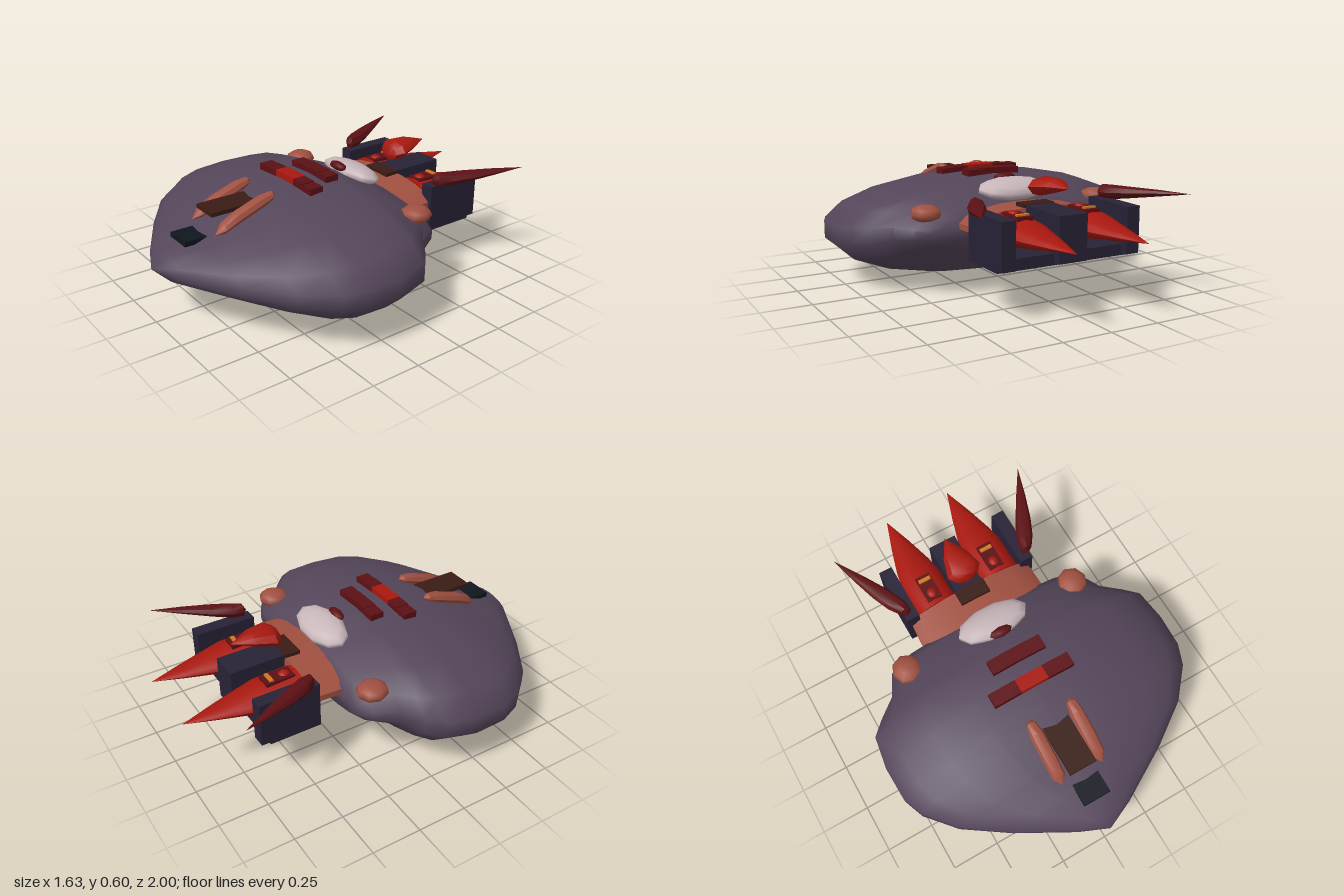
import * as THREE from 'three';
import { toCreasedNormals } from 'three/addons/utils/BufferGeometryUtils.js';

const mat = (color, flatShading = false) =>
  new THREE.MeshStandardMaterial({ color, flatShading });

const HULL = 0x54465a, DARK = 0x282236, RED = 0xa8180f, DEEP_RED = 0x5c1014;
const FLESH = 0xa05040, PALE = 0xc8b6ba, BROWN = 0x3a1c14, BLACK = 0x10161f, ORANGE = 0xd07820;

// Loft of elliptical rings running from front to back; station = [z, cx, cy, rx, ry]
function loft(stations, sides, crease) {
  const pos = [], idx = [];
  for (const [z, cx, cy, rx, ry] of stations)
    for (let k = 0; k < sides; k++) {
      const a = (k / sides) * Math.PI * 2;
      pos.push(cx + rx * Math.sin(a), cy + ry * Math.cos(a), z);
    }
  for (let i = 0; i < stations.length - 1; i++)
    for (let k = 0; k < sides; k++) {
      const n = (k + 1) % sides, a = i * sides, b = a + sides;
      if (stations[i][3] > 0) idx.push(a + k, a + n, b + k);
      if (stations[i + 1][3] > 0) idx.push(a + n, b + n, b + k);
    }
  const g = new THREE.BufferGeometry();
  g.setAttribute('position', new THREE.Float32BufferAttribute(pos, 3));
  g.setIndex(idx);
  g.computeVertexNormals();
  return toCreasedNormals(g, crease);
}

export function createModel() {
  const root = new THREE.Group();
  root.name = 'beetleShip';

  const add = (name, geometry, color, flat) => {
    const m = new THREE.Mesh(geometry, mat(color, flat));
    m.name = name;
    root.add(m);
    return m;
  };
  // Box given by its limits on each axis
  const box = (name, color, [x0, x1], [y0, y1], [z0, z1]) =>
    add(name, new THREE.BoxGeometry(x1 - x0, y1 - y0, z1 - z0), color)
      .position.set((x0 + x1) / 2, (y0 + y1) / 2, (z0 + z1) / 2);
  const blob = (name, color, [x, y, z], [rx, ry, rz], w = 10, h = 7) => {
    const m = add(name, new THREE.SphereGeometry(1, w, h), color);
    m.position.set(x, y, z);
    m.scale.set(rx, ry, rz);
    return m;
  };

  // Hull: [z, half width, top, bottom]
  const hull = [
    [1, 0, 0.28, 0.28], [0.935, 0.15, 0.345, 0.216], [0.78, 0.43, 0.39, 0.165],
    [0.63, 0.65, 0.45, 0.108], [0.48, 0.78, 0.505, 0.043], [0.37, 0.822, 0.532, 0.013],
    [0.2, 0.827, 0.55, 0], [0.035, 0.8, 0.545, 0.043], [-0.03, 0.73, 0.53, 0.07],
    [-0.105, 0.63, 0.5, 0.14], [-0.217, 0.57, 0.455, 0.2], [-0.26, 0.49, 0.41, 0.238],
    [-0.265, 0, 0.33, 0.33],
  ].map(([z, w, t, b]) => [z, 0, (t + b) / 2, w, (t - b) / 2]);
  add('hull', loft(hull, 18, 1.0), HULL);

  // Tail collar joining hull and engines
  add('tailCollar', loft([
    [-0.2, 0, 0.36, 0, 0], [-0.2, 0, 0.36, 0.36, 0.085], [-0.3, 0, 0.36, 0.358, 0.086],
    [-0.41, 0, 0.362, 0.352, 0.088], [-0.42, 0, 0.362, 0, 0],
  ], 18, 0.9), FLESH);
  box('collarHatch', BROWN, [-0.083, 0.083], [0.4, 0.463], [-0.41, -0.33]);

  // Engine housing: base slab and three fins
  box('engineBase', DARK, [-0.37, 0.37], [0.225, 0.28], [-0.655, -0.385]);
  for (const [x, w, y] of [[0, 0.075, 0.46], [0.335, 0.035, 0.465], [-0.335, 0.035, 0.465]])
    box('engineFin', DARK, [x - w, x + w], [0.238, y], [-0.7, -0.387]);

  // Dome, gem and bumps on the back of the hull
  blob('dome', PALE, [0, 0.497, -0.157], [0.197, 0.05, 0.1]).rotation.x = -0.25;
  blob('domeGem', DEEP_RED, [0, 0.542, -0.072], [0.062, 0.022, 0.028], 8, 6);

  // Crest above the tail
  add('crest', loft([
    [-0.4, 0, 0.53, 0, 0], [-0.415, 0, 0.54, 0.06, 0.04], [-0.45, 0, 0.554, 0.092, 0.046],
    [-0.55, 0, 0.567, 0.062, 0.032], [-0.655, 0, 0.567, 0, 0],
  ], 8, 0.7), RED);

  // Stepped bars across the hull
  box('frontBarCentre', RED, [-0.075, 0.075], [0.52, 0.574], [0.188, 0.26]);
  box('rearBarCentre', DEEP_RED, [-0.075, 0.075], [0.52, 0.574], [0.04, 0.113]);

  // Nose plates
  box('brownPlate', BROWN, [-0.072, 0.072], [0.488, 0.508], [0.44, 0.712]);
  box('blackPlate', BLACK, [-0.072, 0.072], [0.378, 0.402], [0.7, 0.857]);

  // Paired parts
  for (const s of [1, -1]) {
    const span = (a, b) => (s > 0 ? [a, b] : [-b, -a]);

    blob('shoulderBump', FLESH, [s * 0.487, 0.42, -0.175], [0.078, 0.042, 0.08], 8, 6);

    box('frontBarInner', DEEP_RED, span(0.075, 0.15), [0.51, 0.57], [0.188, 0.26]);
    box('frontBarOuter', DEEP_RED, span(0.15, 0.222), [0.51, 0.565], [0.188, 0.26]);
    box('rearBarOuter', DEEP_RED, span(0.075, 0.147), [0.51, 0.57], [0.04, 0.113]);

    // Tusk lying along the nose
    const tx = s * 0.112;
    add('tusk', loft([
      [0.722, tx, 0.415, 0, 0], [0.68, tx, 0.438, 0.034, 0.028], [0.6, tx, 0.475, 0.037, 0.032],
      [0.47, tx, 0.52, 0.036, 0.032], [0.41, tx, 0.538, 0.026, 0.02], [0.388, tx, 0.54, 0, 0],
    ], 8, 0.7), FLESH);

    // Thruster flame cone with its vent
    const cx = s * 0.186;
    add('thruster', loft([
      [-0.41, cx, 0.37, 0, 0], [-0.41, cx, 0.37, 0.112, 0.075], [-0.6, cx, 0.37, 0.112, 0.062],
      [-0.7, cx, 0.367, 0.093, 0.042], [-0.84, cx, 0.367, 0.053, 0.022], [-1, cx, 0.367, 0, 0],
    ], 12, 0.7), RED);
    box('ventBlock', DEEP_RED, span(0.143, 0.223), [0.38, 0.447], [-0.585, -0.435]);
    box('ventStripe', ORANGE, span(0.15, 0.216), [0.42, 0.455], [-0.565, -0.545]);
    blob('ventKnob', RED, [s * 0.183, 0.44, -0.475], [0.028, 0.02, 0.032], 8, 6);

    // Spike sweeping out and back
    add('spike', loft([
      [-0.405, s * 0.35, 0.49, 0, 0], [-0.425, s * 0.356, 0.492, 0.03, 0.036],
      [-0.48, s * 0.378, 0.494, 0.047, 0.036], [-0.57, s * 0.419, 0.502, 0.046, 0.028],
      [-0.7, s * 0.48, 0.514, 0.028, 0.016], [-0.85, s * 0.55, 0.526, 0, 0],
    ], 8, 0.7), DEEP_RED);
  }
  return root;
}
